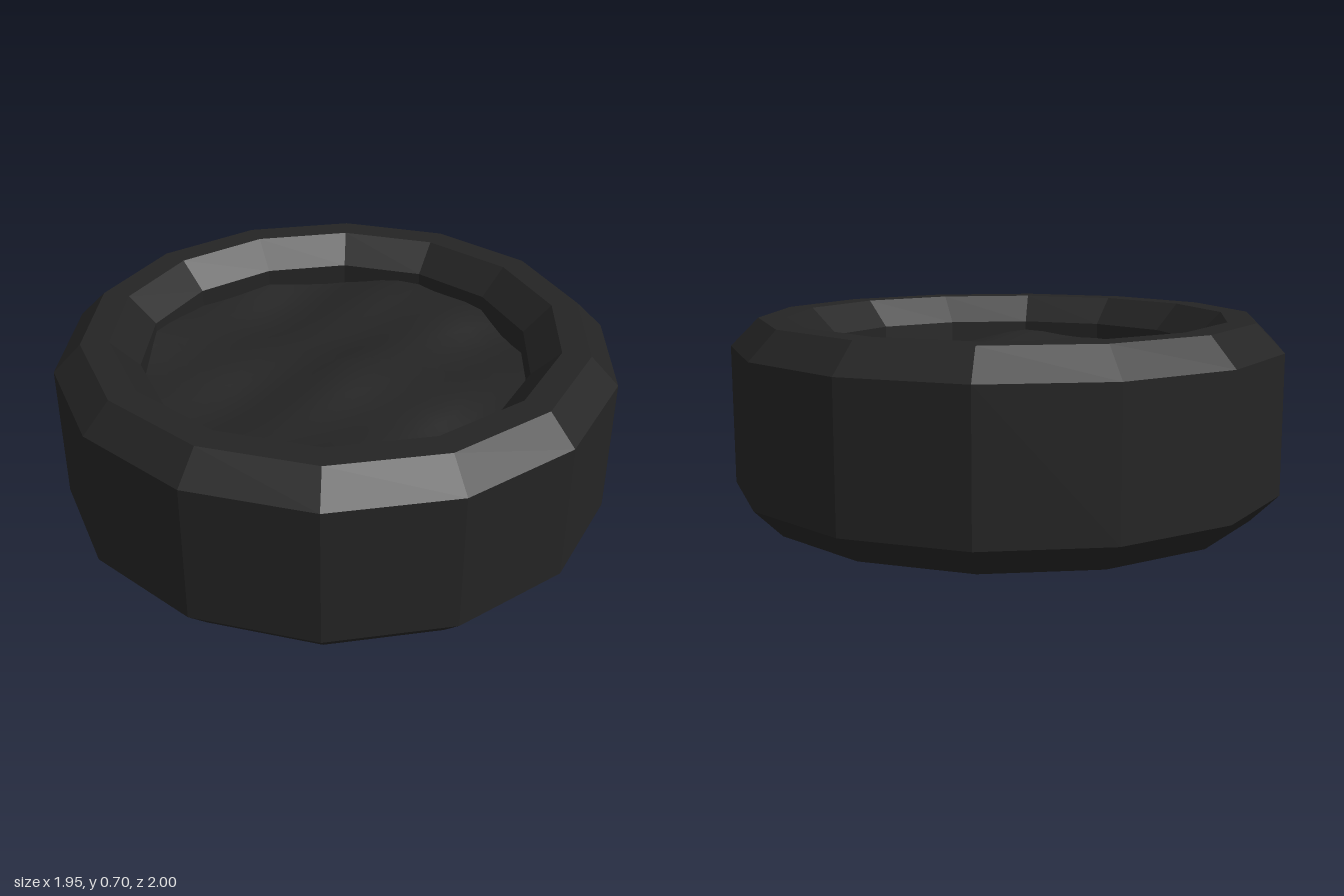
import * as THREE from 'three';

const SIDES = 14;
const STEP = (Math.PI * 2) / SIDES;

// Gentle uneven height of the filling
function fillHeight(x, z) {
  return 0.53
    + 0.016 * Math.sin(7 * x + 2 * z + 0.6)
    + 0.014 * Math.sin(9 * z - 3 * x + 1.1)
    + 0.008 * Math.sin(13 * x + 11 * z);
}

export function createModel() {
  const model = new THREE.Group();
  model.name = 'roundPot';
  const charcoal = new THREE.MeshStandardMaterial({ color: 0x242424 });
  charcoal.name = 'charcoal';

  // Faceted body: bevelled outside, flat rim, sloped lip and inner wall
  const profile = [
    [0, 0], [0.9, 0], [1, 0.1], [1, 0.6], [0.9, 0.7],
    [0.8, 0.7], [0.7, 0.6], [0.7, 0.46],
  ].map(([r, y]) => new THREE.Vector2(r, y));
  const bodyGeometry = new THREE.LatheGeometry(profile, SIDES).toNonIndexed();
  bodyGeometry.computeVertexNormals();
  const body = new THREE.Mesh(bodyGeometry, charcoal);
  body.name = 'body';
  model.add(body);

  // Smooth lumpy filling, squared off to meet the flat inner walls
  const fillGeometry = new THREE.RingGeometry(0, 0.7, SIDES * 4, 12);
  fillGeometry.rotateX(-Math.PI / 2);
  const p = fillGeometry.attributes.position;
  for (let i = 0; i < p.count; i++) {
    const angle = Math.atan2(p.getX(i), p.getZ(i)) + Math.PI * 2;
    const offset = (angle % STEP) - STEP / 2;
    const k = Math.cos(STEP / 2) / Math.cos(offset);
    const x = p.getX(i) * k;
    const z = p.getZ(i) * k;
    p.setXYZ(i, x, fillHeight(x, z), z);
  }
  fillGeometry.computeVertexNormals();
  const filling = new THREE.Mesh(fillGeometry, charcoal);
  filling.name = 'filling';
  model.add(filling);

  return model;
}
